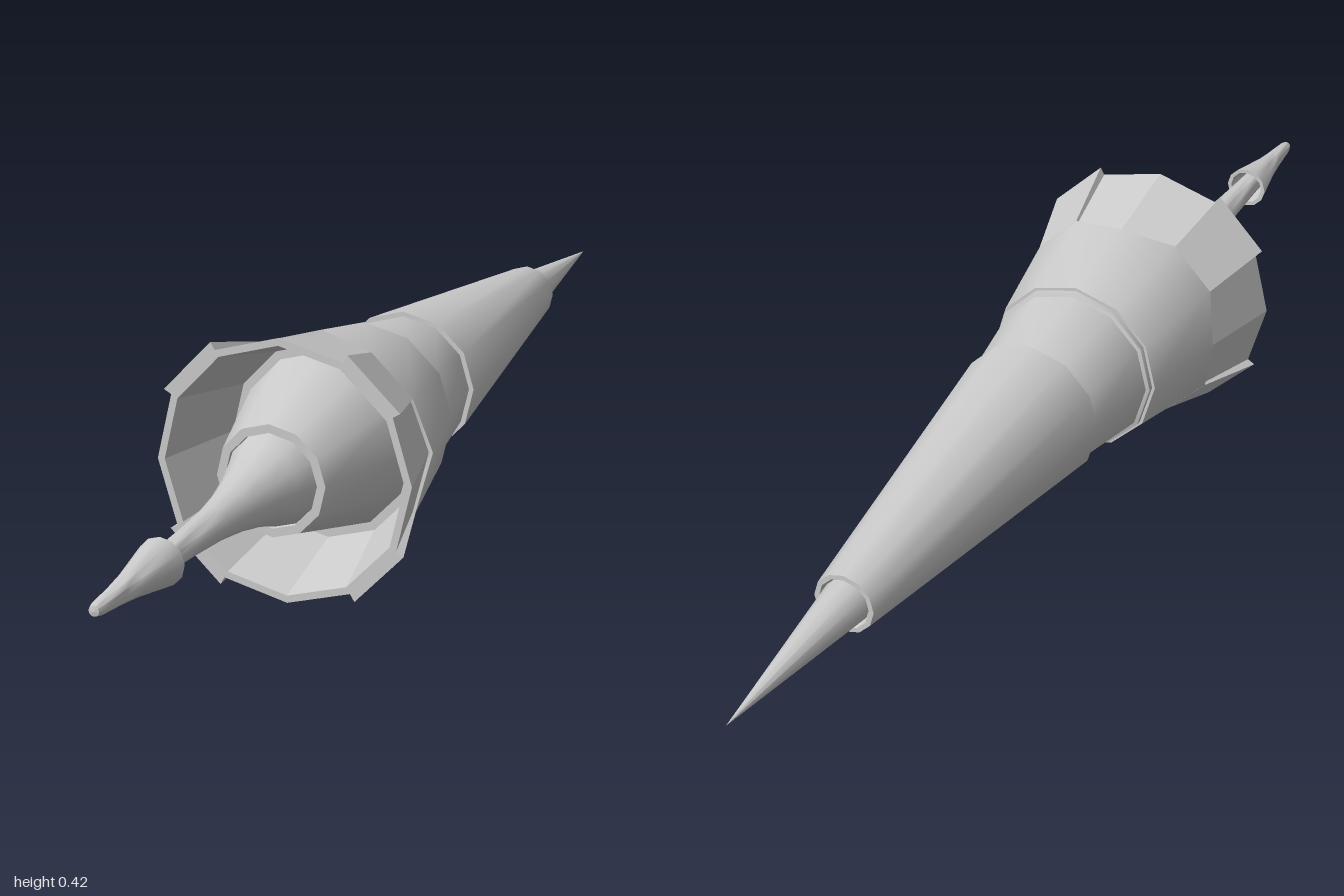
import * as THREE from 'three';
import { toCreasedNormals } from 'three/addons/utils/BufferGeometryUtils.js';

const SIDES = 12;
const SMOOTH = 0.6, FLAT = 0.1;
const material = new THREE.MeshStandardMaterial({ color: 0xcccccc, side: THREE.DoubleSide });

// Turned part around z; profile is [radius, z] from back to front on outer faces
function turned(name, profile, crease = SMOOTH, adjust) {
  const geo = new THREE.LatheGeometry(profile.map(([r, z]) => new THREE.Vector2(r, z)), SIDES);
  geo.rotateX(Math.PI / 2);
  if (adjust) adjust(geo.attributes.position);
  const mesh = new THREE.Mesh(toCreasedNormals(geo, crease), material);
  mesh.name = name;
  return mesh;
}

// One-facet plate that follows the flare of the guard
function guardTab(angle) {
  const geo = new THREE.BoxGeometry(1, 1, 1);
  const p = geo.attributes.position;
  for (let i = 0; i < p.count; i++) {
    const a = angle + Math.sign(p.getX(i)) * Math.PI / SIDES;
    const front = p.getZ(i) > 0, outer = p.getY(i) > 0;
    const r = front ? (outer ? 0.226 : 0.208) : (outer ? 0.185 : 0.172);
    p.setXYZ(i, r * Math.sin(a), r * Math.cos(a), front ? 0.4 : 0.264);
  }
  const mesh = new THREE.Mesh(toCreasedNormals(geo, FLAT), material);
  mesh.name = 'guardTab';
  return mesh;
}

// The guard's front edge dips back at the four corners between the tabs
function notchEdge(p) {
  for (let i = 0; i < p.count; i++) {
    const cardinal = Math.min(Math.abs(p.getX(i)), Math.abs(p.getY(i))) < 0.01;
    if (cardinal && p.getZ(i) > 0.26) {
      const s = 0.98;
      p.setXYZ(i, p.getX(i) * s, p.getY(i) * s, 0.24);
    }
  }
}

export function createModel() {
  const model = new THREE.Group();
  model.name = 'lance';

  const lance = new THREE.Group();
  lance.name = 'lanceBody';
  lance.add(
    // Long pointed rear
    turned('rearSpike', [[0, -1], [0.037, -0.68], [0.039, -0.66]]),
    turned('rearCone', [[0.035, -0.665], [0.042, -0.68], [0.05, -0.68], [0.123, -0.085], [0.105, -0.085]]),
    turned('middleCollar', [[0.114, -0.09], [0.138, 0.065], [0.144, 0.067], [0.144, 0.08]]),

    // Flared guard: outer shell over an inner bell
    turned('guardShell', [[0.135, 0.077], [0.149, 0.077], [0.185, 0.265], [0.172, 0.265]], SMOOTH, notchEdge),
    turned('guardBell', [[0.165, 0.2], [0.212, 0.4], [0.2, 0.4], [0.16, 0.24], [0.14, 0.24]], FLAT),

    // Front cone and grip rising out of the bell
    turned('frontCone', [[0.147, 0.235], [0.09, 0.442], [0.076, 0.442], [0.074, 0.43]]),
    turned('gripShaft', [[0.077, 0.43], [0.063, 0.47], [0.048, 0.52], [0.035, 0.58],
      [0.027, 0.64], [0.022, 0.72], [0.019, 0.8], [0.017, 0.88]]),

    // Hollow-backed head at the front end
    turned('frontHead', [[0.02, 0.85], [0.03, 0.802], [0.037, 0.802], [0.021, 0.89],
      [0.016, 0.93], [0.011, 0.985], [0.008, 0.997], [0, 1]]),
  );
  for (let i = 0; i < 4; i++) lance.add(guardTab(Math.PI / 4 + i * Math.PI / 2));

  // Slight yaw and roll of the whole piece
  lance.rotation.set(0, -0.0475, 0.026);
  lance.position.set(0.0175, 0.2135, 0);
  model.add(lance);
  return model;
}
